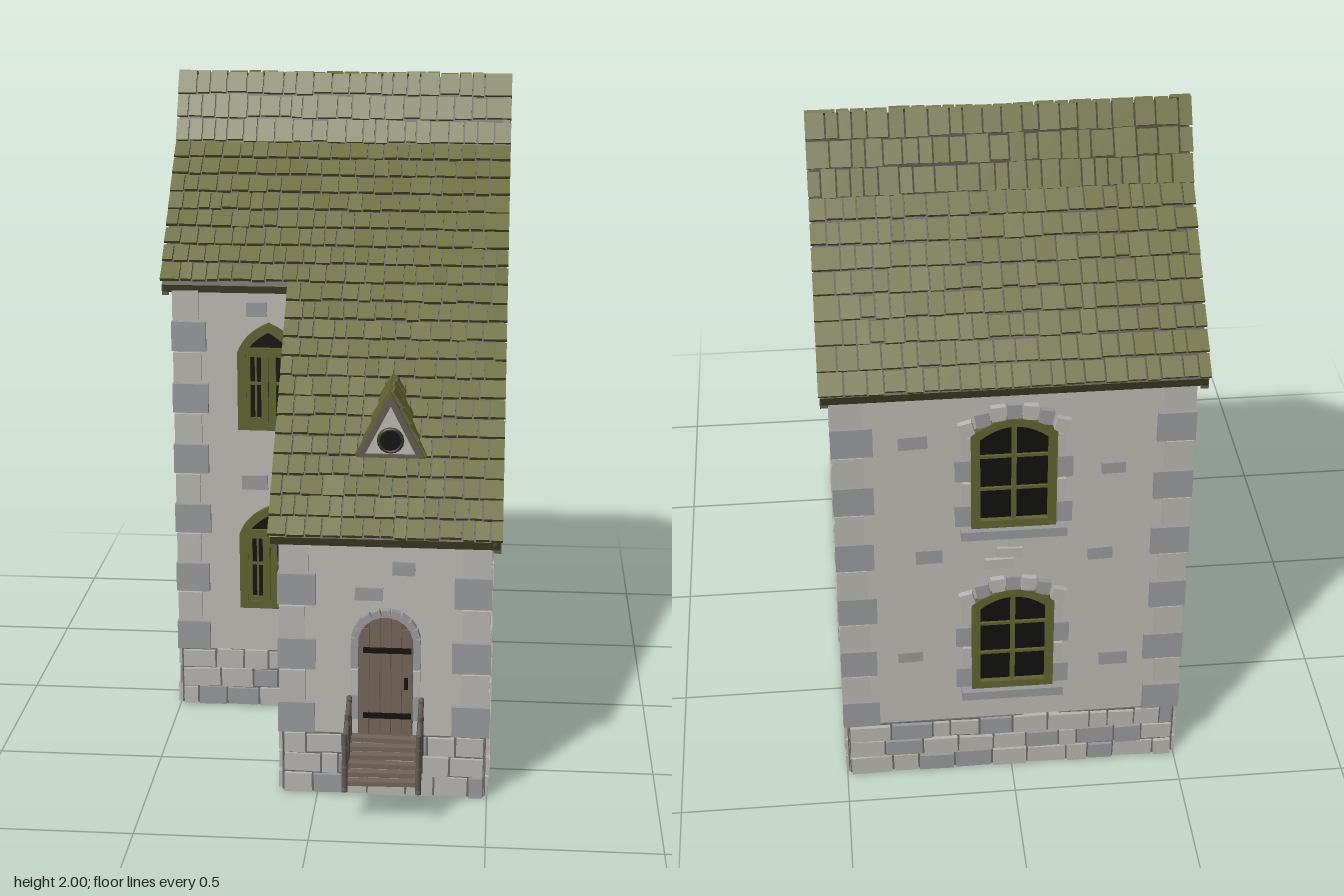
import * as THREE from 'three';
import { mergeGeometries } from 'three/addons/utils/BufferGeometryUtils.js';

const mat = (name, color, side = THREE.FrontSide) => {
  const m = new THREE.MeshStandardMaterial({ color, side });
  m.name = name;
  return m;
};

export function createModel() {
  const M = {
    plaster: mat('plaster', 0xbdbab4, THREE.DoubleSide),
    light: mat('light stone', 0xb8b6b0),
    mid: mat('grey stone', 0x989a9c),
    mortar: mat('dark mortar', 0x6c6c6a),
    tile: mat('mossy tile', 0x666832),
    shade: mat('dark roof base', 0x34361c),
    green: mat('green frame', 0x5f6430),
    wood: mat('brown wood', 0x74655a),
    trim: mat('weathered trim', 0x625b54),
    black: mat('black glass', 0x11120f),
  };
  let seed = 7;
  const rnd = (a = 0, b = 1) => {
    seed = (seed * 16807) % 2147483647;
    return a + (b - a) * (seed / 2147483647);
  };
  const house = new THREE.Group();
  house.name = 'house';

  const add = (parent, name, geo, m) => {
    const mesh = new THREE.Mesh(geo, m);
    mesh.name = name;
    parent.add(mesh);
    return mesh;
  };
  const boxGeo = (w, h, d, x, y, z, rz = 0) => new THREE.BoxGeometry(w, h, d).rotateZ(rz).translate(x, y, z);
  const box = (parent, name, m, ...a) => add(parent, name, boxGeo(...a), m);
  const polygon = pts => new THREE.Shape(pts.map(p => new THREE.Vector2(...p)));
  const extrude = (shape, z0, depth) =>
    new THREE.ExtrudeGeometry(shape, { depth, bevelEnabled: false, curveSegments: 10 }).translate(0, 0, z0);
  // Profile given as [z, y], extruded from x0 to x1
  const extrudeX = (pts, x0, x1) =>
    extrude(polygon(pts.map(([z, y]) => [-z, y])), x0, x1 - x0).rotateY(Math.PI / 2);

  // Gathers stones of two greys and merges them into one mesh per colour
  const stonework = (parent, name, fill) => {
    const sets = { light: [], mid: [] };
    fill((m, ...a) => sets[m].push(boxGeo(...a)));
    for (const m in sets) if (sets[m].length) add(parent, name, mergeGeometries(sets[m]), M[m]);
  };
  const anyStone = () => (rnd() < 0.6 ? 'light' : 'mid');

  // A wall frame: local x runs along the wall, z points outwards
  const wall = (name, pos, turn, pts) => {
    const g = new THREE.Group();
    g.name = name;
    g.position.set(...pos);
    g.rotation.y = turn * Math.PI / 2;
    add(g, name + 'Surface', new THREE.ShapeGeometry(polygon(pts)), M.plaster);
    const u0 = pts[0][0], u1 = pts[1][0];
    box(g, 'plinthMortar', M.mortar, u1 - u0, 0.19, 0.004, (u0 + u1) / 2, 0.095, 0.003);
    stonework(g, 'plinthStones', put => {
      for (let r = 0; r < 3; r++) {
        for (let u = u0; u < u1 - 0.01;) {
          let w = rnd(0.05, 0.13);
          if (u + w > u1 - 0.04) w = u1 - u;
          const d = rnd(0.01, 0.017);
          put(rnd() < 0.75 ? 'light' : 'mid', w - 0.006, rnd(0.052, 0.063), d,
            u + w / 2, 0.031 + r * 0.064, d / 2 + 0.001, rnd(-0.03, 0.03));
          u += w;
        }
      }
    });
    return g;
  };
  const front = wall('mainFrontWall', [0, 0, 0.09], 0, [[-0.49, 0], [-0.1, 0], [-0.1, 1.395], [-0.49, 1.395]]);
  const annex = wall('annexFrontWall', [0, 0, 0.69], 0, [[-0.1, 0], [0.49, 0], [0.49, 0.8], [-0.1, 0.8]]);
  const annexSide = wall('annexSideWall', [-0.1, 0, 0], -1, [[0.09, 0], [0.69, 0], [0.69, 0.795], [0.09, 1.395]]);
  const back = wall('backWall', [0, 0, -0.875], 2, [[-0.49, 0], [0.49, 0], [0.49, 1.385], [-0.49, 1.385]]);
  const longSide = wall('longGableWall', [0.49, 0, 0], 1,
    [[-0.69, 0], [0.875, 0], [0.875, 1.385], [0.48, 1.77], [0.385, 1.97], [0.285, 1.77], [-0.69, 0.795]]);
  const shortSide = wall('shortGableWall', [-0.49, 0, 0], -1,
    [[-0.875, 0], [0.09, 0], [0.09, 1.395], [-0.285, 1.77], [-0.385, 1.97], [-0.48, 1.77], [-0.875, 1.385]]);
  house.add(front, annex, annexSide, back, longSide, shortSide);

  // Exposed bricks: [u, y, count]
  const bricks = (g, list) => stonework(g, 'exposedBricks', put => {
    for (const [u, y, n] of list) for (let i = 0; i < n; i++) {
      const row = i % 3 - 1, col = Math.floor(i / 3) - (n - 1) / 6;
      put(n > 1 ? anyStone() : 'mid', rnd(0.06, 0.085), n > 1 ? 0.032 : rnd(0.035, 0.05), 0.01,
        u + (n > 1 ? col * 0.09 + row * 0.03 : 0), y + (n > 1 ? row * 0.038 : 0), 0.006, rnd(-0.04, 0.04));
    }
  });
  bricks(longSide, [[0.42, 1.23, 8], [0.2, 0.92, 6], [0.62, 0.88, 6], [0.2, 0.64, 8], [0, 0.32, 6], [0.42, 0.26, 6],
    [0, 1.35, 1], [-0.05, 1.06, 1], [0.04, 1.01, 1], [-0.05, 0.83, 1], [-0.4, 0.76, 1], [-0.22, 0.76, 1],
    [-0.22, 0.55, 1], [-0.45, 0.46, 1], [-0.22, 0.46, 1], [0.55, 0.46, 1], [0.6, 0.57, 1], [-0.43, 0.24, 1], [-0.25, 0.24, 1]]);
  bricks(annex, [[0.25, 0.71, 1], [0.15, 0.63, 1]]);
  bricks(front, [[-0.25, 0.76, 1], [-0.24, 1.32, 1]]);
  bricks(annexSide, [[0.3, 0.85, 3], [0.5, 0.5, 3], [0.25, 0.4, 1]]);
  bricks(back, [[-0.28, 1.22, 1], [0.28, 1.1, 1], [0.25, 0.8, 1], [-0.24, 0.82, 1], [0.02, 0.82, 3], [-0.3, 0.45, 1], [0.3, 0.4, 1]]);
  bricks(shortSide, [[-0.65, 1.2, 1], [-0.15, 1.3, 1], [-0.4, 0.82, 3], [-0.1, 0.75, 1], [-0.68, 0.6, 1]]);

  // Corner stones, alternating long and short on each face
  for (const [cx, cz, sx, sz, top] of [[-0.49, 0.09, -1, 1, 1.38], [-0.1, 0.69, -1, 1, 0.79], [0.49, 0.69, 1, 1, 0.79],
    [0.49, -0.875, 1, -1, 1.38], [-0.49, -0.875, -1, -1, 1.38]]) {
    stonework(house, 'cornerStones', put => {
      const n = Math.round((top - 0.19) / 0.1), h = (top - 0.19) / n;
      for (let i = 0; i < n; i++) {
        const m = i % 2 ? 'light' : 'mid', lx = (i % 2 ? 0.075 : 0.105) + rnd(0, 0.012), lz = (i % 2 ? 0.06 : 0.1) + rnd(0, 0.012);
        const y = 0.19 + (i + 0.5) * h, t = i % 2 ? 0.01 : 0.014;
        put(m, lx, h - 0.006, t, cx + sx * (t + 0.001 - lx / 2), y, cz + sz * (t / 2 + 0.001));
        put(m, t, h - 0.006, lz, cx + sx * (t / 2 + 0.001), y, cz + sz * (t + 0.001 - lz / 2));
      }
    });
  }

  // Arched outline; kind is pointed, segment or round
  const arch = (w, y0, spring, top, kind) => {
    const s = new THREE.Shape().moveTo(-w, y0).lineTo(w, y0).lineTo(w, spring);
    if (kind === 'round') s.absarc(0, spring, w, 0, Math.PI);
    else if (kind === 'segment') s.quadraticCurveTo(0, 2 * top - spring, -w, spring);
    else s.quadraticCurveTo(w * 0.75, top - 0.03, 0, top).quadraticCurveTo(-w * 0.75, top - 0.03, -w, spring);
    return s;
  };
  const ring = (outer, inner) => { outer.holes.push(inner); return outer; };
  const windowGroup = (parent, name, x, y) => {
    const g = new THREE.Group();
    g.name = name;
    g.position.set(x, y, 0);
    parent.add(g);
    return g;
  };

  // Front windows: pointed light above a pair of barred casements
  for (const y of [0.34, 0.935]) {
    const g = windowGroup(front, 'pointedWindow', -0.203, y);
    add(g, 'glass', extrude(arch(0.09, 0, 0.25, 0.33, 'pointed'), -0.004, 0.008), M.black);
    add(g, 'frame', extrude(ring(arch(0.097, 0, 0.25, 0.343, 'pointed'), arch(0.07, 0.025, 0.25, 0.315, 'pointed')), -0.01, 0.028), M.green);
    box(g, 'transom', M.green, 0.18, 0.028, 0.026, 0, 0.25, 0.004);
    for (const s of [-1, 1]) {
      box(g, 'casementStile', M.green, 0.022, 0.24, 0.028, s * 0.012, 0.12, 0.005);
      box(g, 'casementStile', M.green, 0.018, 0.24, 0.024, s * 0.066, 0.12, 0.004);
      box(g, 'casementBar', M.green, 0.006, 0.24, 0.02, s * 0.04, 0.12, 0.002);
      box(g, 'casementRail', M.green, 0.08, 0.028, 0.024, s * 0.045, 0.025, 0.004);
      box(g, 'casementRail', M.green, 0.08, 0.008, 0.02, s * 0.045, 0.15, 0.002);
    }
  }

  // Back and side windows with stone surrounds
  for (const [parent, x] of [[back, 0], [shortSide, -0.4]]) for (const y of [0.32, 0.92]) {
    const g = windowGroup(parent, 'archedWindow', x, y);
    add(g, 'glass', extrude(arch(0.11, 0.01, 0.31, 0.36, 'segment'), -0.004, 0.008), M.black);
    add(g, 'frame', extrude(ring(arch(0.12, 0, 0.32, 0.37, 'segment'), arch(0.095, 0.025, 0.305, 0.345, 'segment')), -0.01, 0.03), M.green);
    box(g, 'mullion', M.green, 0.014, 0.33, 0.018, 0, 0.18, 0.004);
    for (const h of [0.13, 0.24]) box(g, 'glazingBar', M.green, 0.2, 0.009, 0.016, 0, h, 0.003);
    stonework(g, 'windowSurround', put => {
      put('mid', 0.3, 0.03, 0.035, 0, -0.015, 0.0185);
      for (let i = -3; i <= 3; i++)
        put(i % 2 ? 'light' : 'mid', 0.04, 0.045, 0.018, i * 0.044, 0.393 - 0.055 * (i / 3) ** 2, 0.01, -i * 0.09);
      for (const s of [-1, 1]) for (let i = 0; i < 4; i++)
        put(i % 2 ? 'light' : 'mid', i % 2 ? 0.025 : 0.045, 0.07, 0.012, s * (i % 2 ? 0.133 : 0.143), 0.04 + i * 0.078, 0.007);
    });
  }

  // Gable openings: round window and a small loft hatch
  for (const [parent, u] of [[longSide, 0.385], [shortSide, -0.385]]) {
    const g = windowGroup(parent, 'roundWindow', u, 1.485);
    add(g, 'glass', new THREE.CylinderGeometry(0.062, 0.062, 0.008, 20).rotateX(Math.PI / 2).translate(0, 0, 0.005), M.black);
    box(g, 'glazingBar', M.mid, 0.12, 0.007, 0.008, 0, 0, 0.008);
    box(g, 'glazingBar', M.mid, 0.007, 0.12, 0.008, 0, 0, 0.008);
    box(parent, 'loftHatch', M.black, 0.062, 0.062, 0.008, u, 1.845, 0.006);
    box(parent, 'hatchLintel', M.trim, 0.08, 0.012, 0.014, u, 1.882, 0.009);
  }

  // Door with arched stone surround and iron straps
  const door = windowGroup(annex, 'door', 0.2, 0.19);
  add(door, 'doorLeaf', extrude(arch(0.08, 0, 0.295, 0, 'round'), -0.006, 0.012), M.trim);
  for (let i = -2; i <= 2; i++) {
    const h = 0.295 + Math.sqrt(0.08 ** 2 - (Math.abs(i) * 0.032 + 0.006) ** 2);
    box(door, 'doorPlank', M.wood, 0.029, h, 0.008, i * 0.0315, h / 2, 0.01);
  }
  for (const y of [0.065, 0.27]) box(door, 'doorStrap', M.black, 0.14, 0.016, 0.008, 0.005, y, 0.016);
  box(door, 'doorHandle', M.black, 0.012, 0.03, 0.02, 0.06, 0.17, 0.02);
  stonework(door, 'doorSurround', put => {
    for (let i = 0; i <= 10; i++) {
      const a = i / 10 * Math.PI;
      put('mid', 0.022, 0.026, 0.022, Math.cos(a) * 0.09, 0.295 + Math.sin(a) * 0.09, 0.012, a);
    }
    for (const s of [-1, 1]) for (let i = 0; i < 3; i++)
      put(i % 2 ? 'light' : 'mid', 0.022, 0.075, 0.018, s * 0.091, 0.25 - i * 0.08, 0.01);
  });

  // Roof base: long slope over the annex, short slope beside it
  const roofTop = [[-0.887, 1.385], [-0.485, 1.775], [-0.385, 1.978], [-0.285, 1.775]];
  const under = pts => pts.map(([z, y]) => [z, y - 0.022]).reverse();
  const longTop = [...roofTop, [0.702, 0.798]], shortTop = [...roofTop, [0.1, 1.394]];
  add(house, 'longRoofBase', extrudeX([...longTop, ...under(longTop)], -0.135, 0.525), M.shade);
  add(house, 'shortRoofBase', extrudeX([...shortTop, ...under(shortTop)], -0.53, -0.135), M.shade);
  // Verge boards along the gables
  const verge = (pts, x0, x1) => add(house, 'vergeBoard', extrudeX([...pts, ...pts.map(([z, y]) => [z, y - 0.032]).reverse()], x0, x1), M.trim);
  verge(longTop, 0.505, 0.527);
  verge(shortTop, -0.532, -0.51);
  verge([[0.1, 1.394], [0.702, 0.798]], -0.138, -0.115);

  // Irregular tiles laid down a slope from a to b, each [z, y]
  const tiles = (parent, a, b, pitch, range) => {
    const dz = b[0] - a[0], dy = b[1] - a[1], len = Math.hypot(dz, dy), n = Math.max(1, Math.round(len / pitch));
    const sgn = Math.sign(dz), nz = -dy / len * sgn, ny = dz / len * sgn, geos = [];
    for (let r = 0; r < n; r++) {
      const t = (r + 0.5) / n, z = a[0] + dz * t, y = a[1] + dy * t, [x0, x1] = range(z);
      for (let x = x0; x < x1 - 0.005;) {
        let w = rnd(0.035, 0.065);
        if (x + w > x1 - 0.03) w = x1 - x;
        const h = len / n * rnd(0.84, 1.04), lift = rnd(0.005, 0.009);
        geos.push(new THREE.BoxGeometry(w - 0.005, 0.011, h)
          .rotateX(Math.atan2(-dy, dz) - sgn * rnd(0.1, 0.17))
          .translate(x + w / 2, y + ny * lift, z + nz * lift));
        x += w;
      }
    }
    add(parent, 'roofTiles', mergeGeometries(geos), M.tile);
  };
  const full = () => [-0.54, 0.533];
  tiles(house, [-0.385, 1.99], [-0.285, 1.775], 0.07, full);
  tiles(house, [-0.285, 1.775], [0.703, 0.797], 0.066, z => [z > 0.105 ? -0.145 : -0.54, 0.533]);
  tiles(house, [-0.385, 1.99], [-0.485, 1.775], 0.07, full);
  tiles(house, [-0.485, 1.775], [-0.887, 1.385], 0.066, full);

  // Dormer
  const dormer = new THREE.Group();
  dormer.name = 'dormer';
  dormer.position.x = 0.2;
  house.add(dormer);
  const tri = (w, y0, y1) => polygon([[-w, y0], [w, y0], [0, y1]]);
  add(dormer, 'dormerBody', extrude(tri(0.088, 0.985, 1.175), 0.3, 0.22), M.shade);
  add(dormer, 'dormerGable', extrude(tri(0.08, 0.995, 1.15), 0.52, 0.005), M.plaster);
  add(dormer, 'dormerTrim', extrude(ring(tri(0.1, 0.99, 1.185), tri(0.074, 1.0, 1.145)), 0.515, 0.018), M.trim);
  add(dormer, 'dormerGlass', new THREE.CylinderGeometry(0.032, 0.032, 0.008, 14).rotateX(Math.PI / 2).translate(0, 1.042, 0.529), M.black);
  add(dormer, 'dormerWindowRing', new THREE.TorusGeometry(0.034, 0.006, 6, 16).translate(0, 1.042, 0.529), M.shade);
  const dormerRoof = new THREE.Group();
  dormerRoof.name = 'dormerRoof';
  dormerRoof.rotation.y = Math.PI / 2;
  dormer.add(dormerRoof);
  for (const s of [-1, 1]) tiles(dormerRoof, [0, 1.183], [s * 0.094, 0.985], 0.05, () => [-0.528, -0.31]);

  // Entrance steps with crooked handrails
  const steps = new THREE.Group();
  steps.name = 'entranceSteps';
  house.add(steps);
  const slope = z => 0.195 - (z - 0.71) * 0.4;
  for (let i = 0; i < 6; i++)
    box(steps, 'stepPlank', M.wood, 0.2 + rnd(-0.01, 0.01), 0.014, 0.026, 0.2, slope(0.725 + i * 0.031), 0.725 + i * 0.031, rnd(-0.02, 0.02));
  for (const x of [0.095, 0.305]) {
    for (const [z, y0, y1] of [[0.72, 0.14, 0.31], [0.795, 0.12, 0.295], [0.89, 0.1, 0.28]])
      add(steps, 'railPost', new THREE.CylinderGeometry(0.008, 0.01, y1 - y0, 6).translate(x, (y0 + y1) / 2, z), M.trim);
    for (const [h, bow] of [[-0.015, 0.006], [0.055, -0.008], [0.115, -0.012]]) {
      const path = new THREE.CatmullRomCurve3([0.705, 0.75, 0.8, 0.85, 0.902].map((z, i) =>
        new THREE.Vector3(x, slope(z) + h + (i % 2 ? bow : 0), z)));
      add(steps, 'handrail', new THREE.TubeGeometry(path, 10, 0.008, 6), M.trim);
    }
  }
  return house;
}
